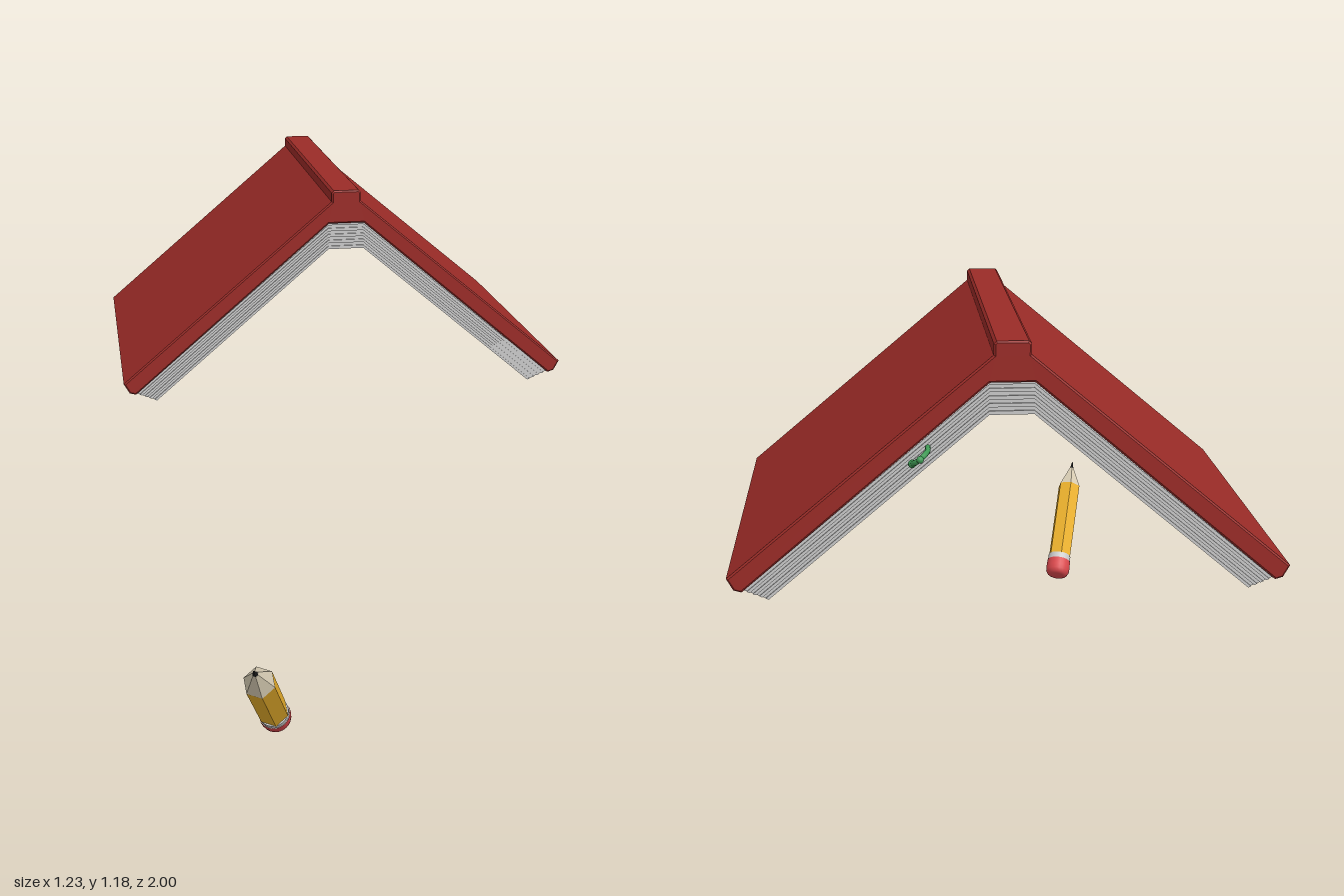
import * as THREE from 'three';

const mat = (color, flatShading = false) => new THREE.MeshStandardMaterial({ color, flatShading });

function add(parent, name, geometry, material) {
  const mesh = new THREE.Mesh(geometry, material);
  mesh.name = name;
  parent.add(mesh);
  return mesh;
}

// Symmetric outline: right half listed from top to bottom, mirrored to the left
function mirroredShape(outer, inner) {
  const right = [...outer, ...inner];
  const left = right.map(([x, y]) => [-x, y]).reverse();
  return new THREE.Shape([...left, ...right].map(([x, y]) => new THREE.Vector2(x, y)));
}

// Extrude an outline between two z positions, with an optional small bevel
function slab(shape, z0, z1, bevel = 0) {
  const geo = new THREE.ExtrudeGeometry(shape, {
    depth: z1 - z0 - 2 * bevel, bevelEnabled: bevel > 0, bevelSize: bevel,
    bevelThickness: bevel, bevelOffset: -bevel, bevelSegments: 1, steps: 1,
  });
  geo.translate(0, 0, z0 + bevel);
  return geo;
}

function createBook() {
  const book = new THREE.Group();
  book.name = 'openBook';

  // Cover: raised spine and two sloping boards with chamfered ends
  const cover = mirroredShape(
    [[0.034, 1.187], [0.04, 1.181], [0.04, 1.157], [0.617, 0.674]],
    [[0.602, 0.647], [0.585, 0.642], [0.048, 1.098]]);
  add(book, 'cover', slab(cover, -0.957, -0.027, 0.004), mat(0x9a2b27, true));

  // Page block: stacked sheets, every second one set back slightly
  const paper = mat(0xcccccc, true);
  const pages = new THREE.Group();
  pages.name = 'pages';
  book.add(pages);
  const layers = 9;
  const line = (t) => [[0.048, 1.1 - 0.074 * t], [0.588 - 0.06 * t, 0.645 - 0.025 * t]];
  for (let i = 0; i < layers; i++) {
    const [topHinge, topEnd] = line(i / layers);
    const [lowHinge, lowEnd] = line((i + 1) / layers);
    const inset = i % 2 ? 0.004 : 0;
    const shape = mirroredShape([topHinge, topEnd], [lowEnd, lowHinge]);
    add(pages, 'pageLayer', slab(shape, -0.944 + inset, -0.037 - inset), paper);
  }
  return book;
}

function createPencil() {
  const pencil = new THREE.Group();
  pencil.name = 'pencil';
  const tip = new THREE.Vector3(-0.388, 0.335, 1.0);
  const end = new THREE.Vector3(-0.302, 0.029, 0.695);
  const length = tip.distanceTo(end);

  // Sections stacked upward from the eraser end
  const section = (name, y0, y1, r0, r1, sides, color) => {
    const geo = new THREE.CylinderGeometry(r1, r0, y1 - y0, sides);
    geo.translate(0, (y0 + y1) / 2, 0);
    add(pencil, name, geo, mat(color, sides === 6));
  };
  section('ferrule', 0.052, 0.074, 0.037, 0.037, 24, 0xcccccc);
  section('pencilBody', 0.072, length - 0.098, 0.038, 0.038, 6, 0xeab02c);
  section('sharpenedWood', length - 0.098, length - 0.025, 0.038, 0.007, 6, 0xd6cbb2);
  section('lead', length - 0.026, length, 0.007, 0.001, 6, 0x222222);

  // Rounded eraser
  const profile = [[0, 0], [0.022, 0.001], [0.032, 0.006], [0.038, 0.016], [0.039, 0.03], [0.038, 0.054]]
    .map(([x, y]) => new THREE.Vector2(x, y));
  add(pencil, 'eraser', new THREE.LatheGeometry(profile, 24), mat(0xd9484c));

  pencil.position.copy(end);
  pencil.quaternion.setFromUnitVectors(
    new THREE.Vector3(0, 1, 0), tip.clone().sub(end).normalize());
  return pencil;
}

// Tiny worm arching out of the page edges at the back
function createWorm() {
  const worm = new THREE.Group();
  worm.name = 'bookworm';
  const green = mat(0x3f9a55);
  const curve = new THREE.CatmullRomCurve3([
    [0.179, 0.957, -0.942], [0.181, 0.955, -0.968], [0.192, 0.948, -0.987],
    [0.205, 0.936, -0.982], [0.213, 0.929, -0.969],
  ].map((p) => new THREE.Vector3(...p)));
  add(worm, 'wormBody', new THREE.TubeGeometry(curve, 20, 0.006, 10), green);
  const head = add(worm, 'wormHead', new THREE.SphereGeometry(0.009, 12, 8), green);
  head.position.set(0.213, 0.928, -0.966);
  const hump = add(worm, 'wormHump', new THREE.SphereGeometry(0.008, 12, 8), green);
  hump.position.set(0.197, 0.944, -0.992);
  return worm;
}

export function createModel() {
  const model = new THREE.Group();
  model.name = 'bookAndPencil';
  model.add(createBook(), createPencil(), createWorm());
  return model;
}
